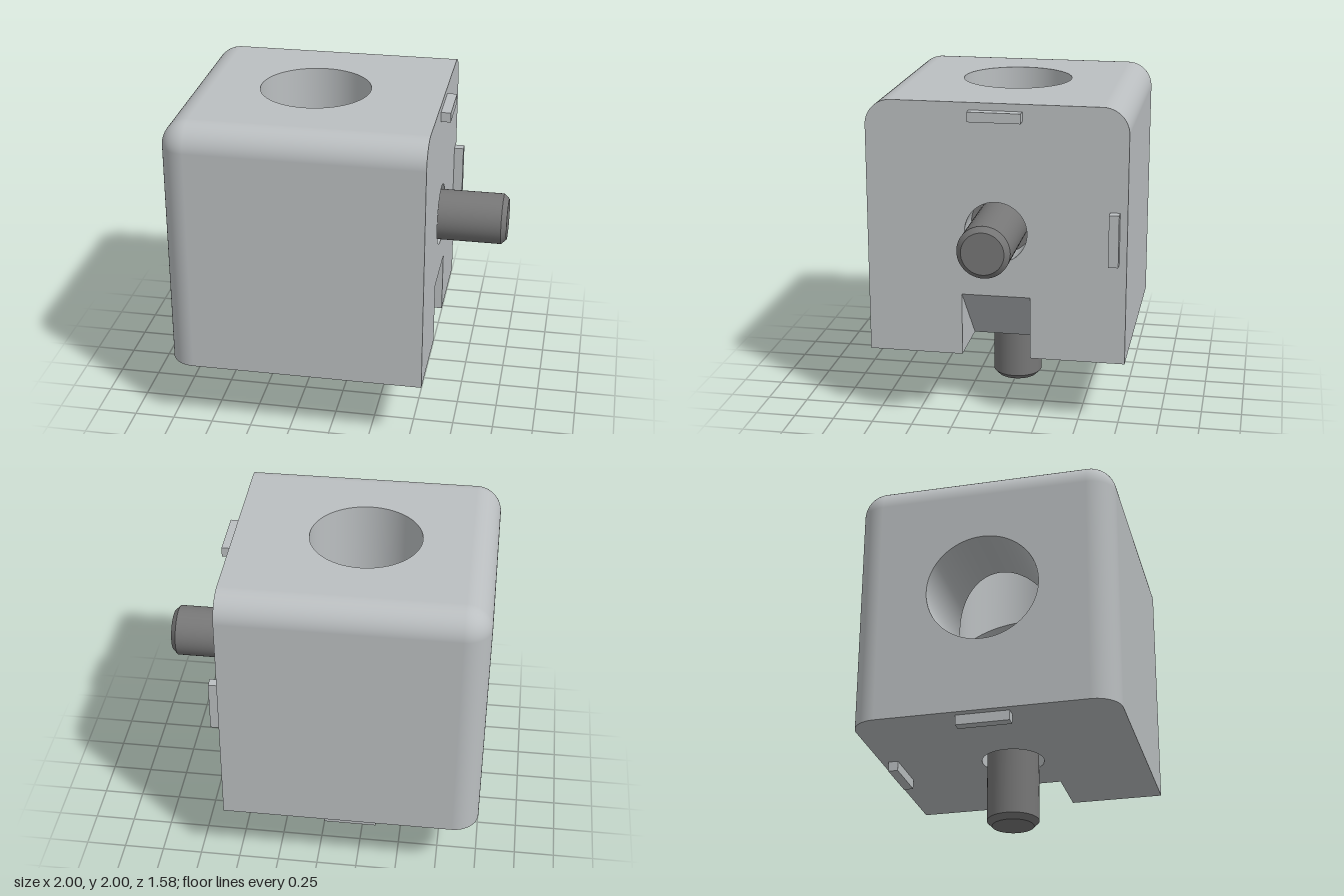
import * as THREE from 'three';

const H = 0.79;        // half size of the cube
const R = 0.158;       // rounded edge radius
const BORE = 0.34;     // wide bore for the screw head
const HOLE = 0.19;     // clearance hole for the shaft
const SEAT = 0.58;     // distance from cube centre to the screw seat
const NOTCH = 0.39;    // notch depth
const NOTCH_W = 0.21;  // notch half width
const PI = Math.PI;

const bodyMat = new THREE.MeshStandardMaterial({ color: 0xbbbfc1, side: THREE.DoubleSide });
bodyMat.name = 'light grey plastic';
const screwMat = new THREE.MeshStandardMaterial({ color: 0x777777 });
screwMat.name = 'dark grey steel';

function add(parent, name, geometry, material, x = 0, y = 0, z = 0) {
  const mesh = new THREE.Mesh(geometry, material);
  mesh.name = name;
  mesh.position.set(x, y, z);
  parent.add(mesh);
  return mesh;
}

function circlePath(r) {
  return new THREE.Path().absarc(0, 0, r, 0, PI * 2, true);
}

// Flat face lying at y = H, normal +y, turned half round when side is -1
function flatFace(shape, side) {
  const g = new THREE.ShapeGeometry(shape, 32);
  g.rotateX(-PI / 2);
  if (side < 0) g.rotateY(PI);
  return g;
}

// Bore wall running outward along +y, trimmed where it meets the crossing bore
function boreWall(length) {
  const g = new THREE.CylinderGeometry(BORE, BORE, length, 64, 1, true);
  const p = g.attributes.position;
  for (let i = 0; i < p.count; i++) {
    p.setY(i, p.getY(i) > 0 ? length : Math.abs(p.getX(i)));
  }
  return g;
}

// Face with the wide bore opening
function entrySide(side) {
  const group = new THREE.Group();
  const shape = new THREE.Shape();
  shape.moveTo(-H + R, -H + R);
  shape.lineTo(H, -H + R);
  shape.lineTo(H, H - R);
  shape.lineTo(-H + R, H - R);
  shape.closePath();
  shape.holes.push(circlePath(BORE));
  add(group, 'boreFace', flatFace(shape, side), bodyMat, 0, H, 0);
  add(group, 'boreWall', boreWall(H), bodyMat);
  return group;
}

// Socket head screw pointing along +y
function makeScrew() {
  const screw = new THREE.Group();
  screw.name = 'screw';
  const headShape = new THREE.Shape().absarc(0, 0, 0.315, 0, PI * 2, false);
  const hex = [];
  for (let i = 0; i < 6; i++) {
    hex.push(new THREE.Vector2(0.115 * Math.cos(i * PI / 3), 0.115 * Math.sin(i * PI / 3)));
  }
  headShape.holes.push(new THREE.Path(hex));
  const head = new THREE.ExtrudeGeometry(headShape, { depth: 0.21, bevelEnabled: false, curveSegments: 32 });
  head.rotateX(-PI / 2);
  add(screw, 'screwHead', head, screwMat, 0, 0.37, 0);
  const floor = new THREE.CylinderGeometry(0.115, 0.115, 0.1, 6).rotateY(PI / 6);
  add(screw, 'socketFloor', floor, screwMat, 0, 0.53, 0);
  add(screw, 'shaft', new THREE.CylinderGeometry(0.158, 0.158, 0.598, 48, 1, true), screwMat, 0, 0.879, 0);
  add(screw, 'shaftTip', new THREE.CylinderGeometry(0.127, 0.158, 0.032, 48), screwMat, 0, 1.194, 0);
  return screw;
}

// Mating face with clearance hole, notch cut-out, locating pegs and screw
function matingSide(side) {
  const group = new THREE.Group();
  const c = H - R;
  const shape = new THREE.Shape();
  shape.moveTo(-H, -H);
  shape.lineTo(c, -H);
  shape.absarc(c, -c, R, -PI / 2, 0, false);
  shape.lineTo(H, c);
  shape.absarc(c, c, R, 0, PI / 2, false);
  shape.lineTo(-H, H);
  shape.lineTo(-H, NOTCH_W);
  shape.lineTo(-H + NOTCH, NOTCH_W);
  shape.lineTo(-H + NOTCH, -NOTCH_W);
  shape.lineTo(-H, -NOTCH_W);
  shape.closePath();
  shape.holes.push(circlePath(HOLE));
  add(group, 'matingFace', flatFace(shape, side), bodyMat, 0, H, 0);

  add(group, 'boreWall', boreWall(SEAT), bodyMat);
  const seat = new THREE.RingGeometry(HOLE, BORE, 64).rotateX(PI / 2);
  add(group, 'screwSeat', seat, bodyMat, 0, SEAT, 0);
  const hole = new THREE.CylinderGeometry(HOLE, HOLE, H - SEAT, 48, 1, true);
  add(group, 'clearanceHole', hole, bodyMat, 0, (H + SEAT) / 2, 0);

  add(group, 'edgePeg', new THREE.BoxGeometry(0.06, 0.06, 0.32), bodyMat, side * 0.715, H + 0.03, 0);
  add(group, 'backPeg', new THREE.BoxGeometry(0.32, 0.06, 0.06), bodyMat, 0, H + 0.03, -0.715);
  group.add(makeScrew());
  return group;
}

function quarterEdge(length, start) {
  return new THREE.CylinderGeometry(R, R, length, 16, 1, true, start, PI / 2);
}

export function createModel() {
  const model = new THREE.Group();
  model.name = 'cornerCube';
  const cube = new THREE.Group();
  cube.name = 'cube';
  cube.position.set(-0.21, 1.21, 0);
  model.add(cube);

  // Two bored faces and the two faces the screws come out of
  const sides = [
    ['topSide', entrySide(1), 0],
    ['rightHandSide', entrySide(-1), PI / 2],
    ['bottomSide', matingSide(1), PI],
    ['leftHandSide', matingSide(-1), -PI / 2],
  ];
  for (const [name, group, angle] of sides) {
    group.name = name;
    group.rotation.z = angle;
    cube.add(group);
  }

  // Plain front and back with their rounded edges and corners
  const c = H - R;
  const long = 2 * H - R;
  for (const s of [1, -1]) {
    const label = s > 0 ? 'front' : 'back';
    const panel = new THREE.PlaneGeometry(long, long);
    if (s < 0) panel.rotateY(PI);
    add(cube, label + 'Panel', panel, bodyMat, R / 2, -R / 2, s * H);
    add(cube, label + 'UprightEdge', quarterEdge(long, s > 0 ? 1.5 * PI : PI), bodyMat, -c, -R / 2, s * c);
    const topEdge = quarterEdge(long, s > 0 ? 0 : PI / 2).rotateZ(PI / 2);
    add(cube, label + 'TopEdge', topEdge, bodyMat, R / 2, c, s * c);
    const corner = new THREE.SphereGeometry(R, 16, 16, s > 0 ? 0 : 1.5 * PI, PI / 2, 0, PI / 2);
    add(cube, label + 'Corner', corner, bodyMat, -c, c, s * c);
  }
  add(cube, 'sideTopEdge', quarterEdge(2 * c, PI).rotateX(PI / 2), bodyMat, -c, c, 0);

  // Sloped notch across the lower edge
  const slope = new THREE.PlaneGeometry(2 * NOTCH_W, NOTCH * Math.SQRT2).rotateY(PI / 2).rotateZ(-PI / 4);
  add(cube, 'notchSlope', slope, bodyMat, H - NOTCH / 2, -H + NOTCH / 2, 0);
  const cheek = new THREE.Shape();
  cheek.moveTo(H, -H);
  cheek.lineTo(H, -H + NOTCH);
  cheek.lineTo(H - NOTCH, -H);
  cheek.closePath();
  for (const z of [-NOTCH_W, NOTCH_W]) {
    add(cube, 'notchCheek', new THREE.ShapeGeometry(cheek), bodyMat, 0, 0, z);
  }
  return model;
}
